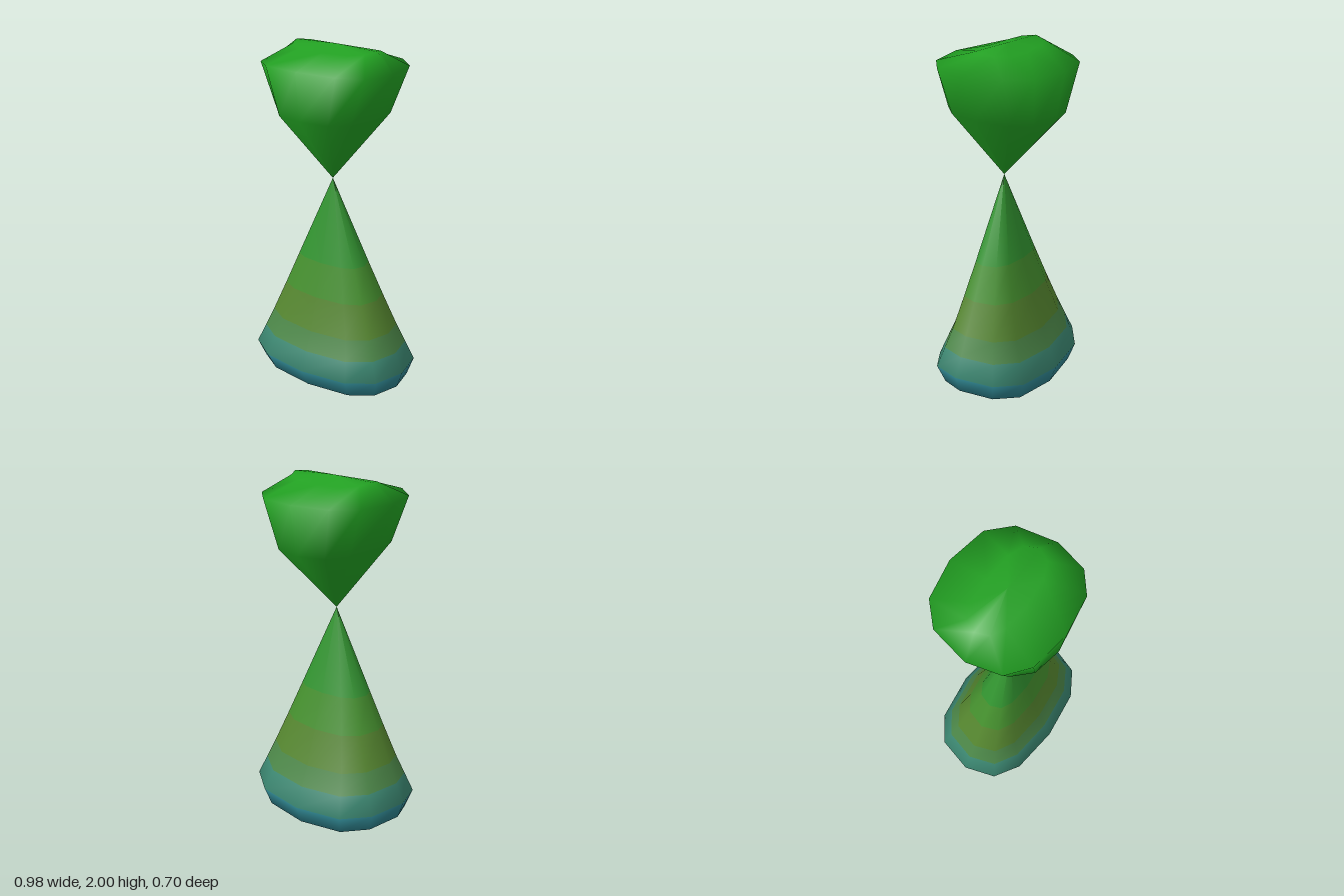
import * as THREE from 'three';

// Quarter of the rounded twelve-sided outline, as fractions of width and depth
const quarter = [[1, 0], [0.88, 0.59], [0.58, 0.89]];
const outline = [
  ...quarter, [0, 1],
  ...quarter.slice(1).reverse().map(([x, z]) => [-x, z]), [-1, 0],
  ...quarter.slice(1).map(([x, z]) => [-x, -z]), [0, -1],
  ...quarter.slice(1).reverse().map(([x, z]) => [x, -z]),
];

// Ring: [half width, side z, front z, back z, side y, front y, back y]
function ringPoints([rx, zs, zf, zb, ys, yf, yb]) {
  return outline.flatMap(([x, z]) => {
    const t = Math.abs(z);
    return [
      rx * x,
      THREE.MathUtils.lerp(ys, z > 0 ? yf : yb, t * t),
      THREE.MathUtils.lerp(zs, z > 0 ? zf : zb, t),
    ];
  });
}

// Smooth skin over rings listed from bottom to top, one colour per band
function loft(name, rings, colors) {
  const n = outline.length;
  const geometry = new THREE.BufferGeometry();
  const index = [];
  for (let i = 0; i < rings.length - 1; i++) {
    const start = index.length;
    for (let j = 0; j < n; j++) {
      const a = i * n + j, b = i * n + (j + 1) % n;
      if (rings[i][0] > 0) index.push(a, a + n, b);
      if (rings[i + 1][0] > 0) index.push(b, a + n, b + n);
    }
    geometry.addGroup(start, index.length - start, i);
  }
  geometry.setAttribute('position', new THREE.Float32BufferAttribute(rings.flatMap(ringPoints), 3));
  geometry.setIndex(index);
  geometry.computeVertexNormals();
  const materials = rings.slice(1).map((_, i) => new THREE.MeshStandardMaterial({
    color: colors[Math.min(i, colors.length - 1)], side: THREE.DoubleSide,
  }));
  const mesh = new THREE.Mesh(geometry, materials);
  mesh.name = name;
  return mesh;
}

export function createModel() {
  const model = new THREE.Group();
  model.name = 'pinchedFigure';

  // Flared lower cone with a rounded foot, pinched to a point at the waist
  model.add(loft('lowerCone', [
    [0, -0.02, -0.02, -0.02, 0.0, 0.0, 0.0],
    [0.28, 0, 0.14, -0.16, 0.035, 0.025, 0.012],
    [0.455, 0.03, 0.27, -0.29, 0.08, 0.05, 0.025],
    [0.49, 0.03, 0.33, -0.33, 0.18, 0.16, 0.13],
    [0.44, 0.03, 0.285, -0.28, 0.29, 0.27, 0.245],
    [0.39, 0.03, 0.24, -0.23, 0.4, 0.38, 0.36],
    [0.305, 0.03, 0.19, -0.165, 0.58, 0.575, 0.565],
    [0.22, 0.03, 0.14, -0.1, 0.77, 0.77, 0.77],
    [0, 0.03, 0.03, 0.03, 1.25, 1.25, 1.25],
  ], [0x2a7c8c, 0x2a7c8c, 0x2f8590, 0x3c8872, 0x4c8748, 0x55862f, 0x45902e, 0x329430]));

  // Faceted upper bulb with a shallow ridged top
  model.add(loft('upperBulb', [
    [0, 0.03, 0.03, 0.03, 1.25, 1.25, 1.25],
    [0.28, 0.03, 0.32, -0.3, 1.63, 1.64, 1.61],
    [0.39, 0.03, 0.35, -0.35, 1.89, 1.91, 1.89],
    [0.27, 0, 0.12, -0.12, 1.99, 1.969, 1.962],
    [0, 0, 0, 0, 2, 2, 2],
  ], [0x22a022]));

  return model;
}
